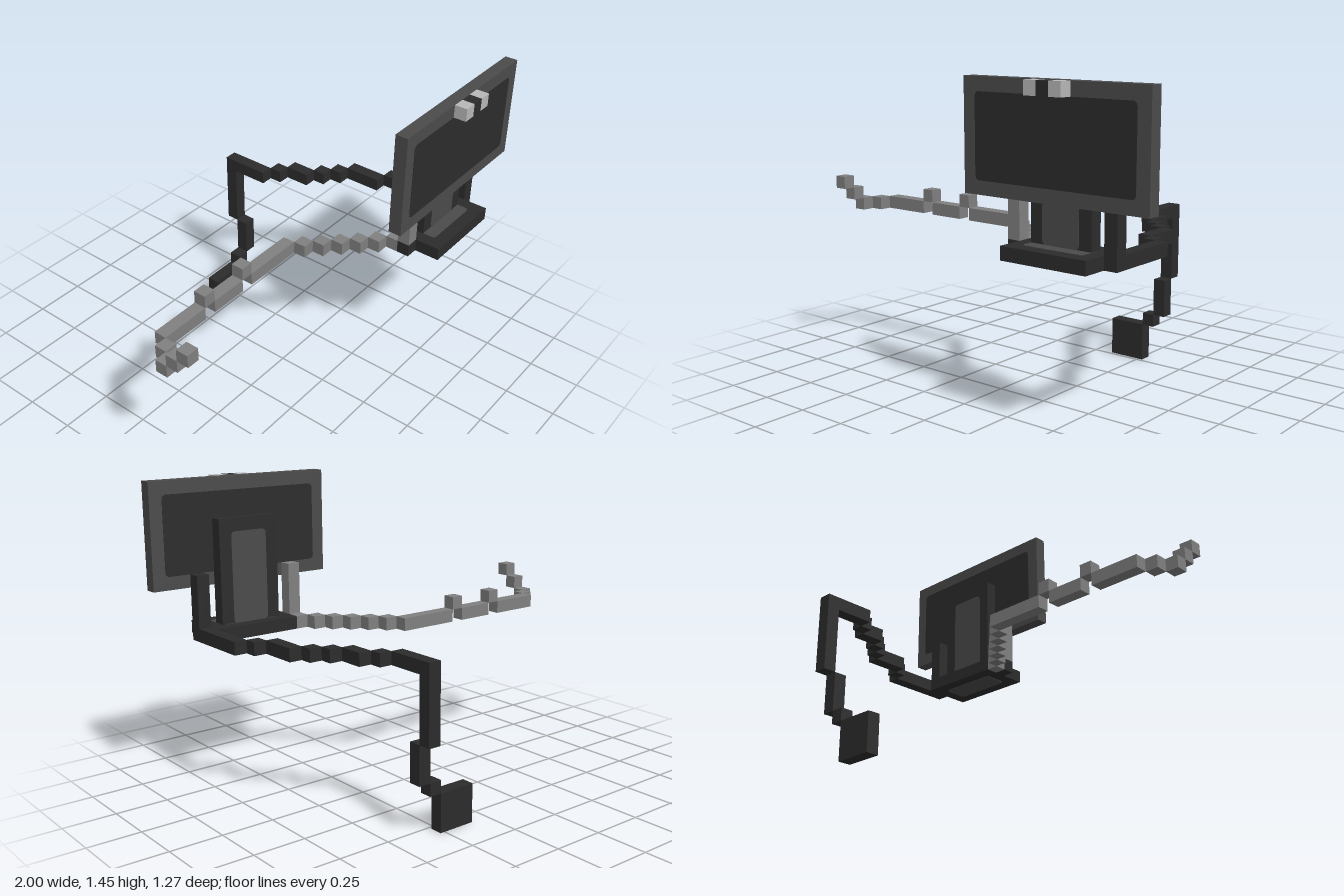
import * as THREE from 'three';

const U = 2 / 33; // one block

export function createModel() {
  const mat = (name, color) => {
    const m = new THREE.MeshStandardMaterial({ color });
    m.name = name;
    return m;
  };
  const black = mat('black', 0x2c2c2c);
  const darkGray = mat('darkGray', 0x4b4b4b);
  const gray = mat('cableGray', 0x808080);
  const light = mat('lightGray', 0xb8b8b8);

  const model = new THREE.Group();
  const part = (name) => {
    const g = new THREE.Group();
    g.name = name;
    model.add(g);
    return g;
  };

  // Box spanning block corners [x0,x1] [y0,y1] [z0,z1]
  const box = (parent, name, material, [x0, x1, y0, y1, z0, z1]) => {
    const mesh = new THREE.Mesh(new THREE.BoxGeometry((x1 - x0) * U, (y1 - y0) * U, (z1 - z0) * U), material);
    mesh.position.set((x0 + x1) / 2 * U - 1, (y0 + y1) / 2 * U, ((z0 + z1) / 2 - 10.5) * U);
    mesh.name = name;
    parent.add(mesh);
  };

  // Thin panel with softly rounded corners, centred on its own origin
  const panel = (parent, name, material, w, h, x, y, z, tilt = 0) => {
    const a = w * U / 2, b = h * U / 2, r = 0.02;
    const s = new THREE.Shape();
    s.absarc(a - r, b - r, r, 0, Math.PI / 2);
    s.absarc(-a + r, b - r, r, Math.PI / 2, Math.PI);
    s.absarc(-a + r, -b + r, r, Math.PI, Math.PI * 1.5);
    s.absarc(a - r, -b + r, r, Math.PI * 1.5, Math.PI * 2);
    const t = 0.004;
    const geo = new THREE.ExtrudeGeometry(s, { depth: t, bevelEnabled: false, curveSegments: 4 });
    geo.translate(0, 0, -t / 2);
    const mesh = new THREE.Mesh(geo, material);
    mesh.rotation.x = tilt;
    mesh.position.set(x * U - 1, y * U, (z - 10.5) * U);
    mesh.name = name;
    parent.add(mesh);
  };

  // Monitor with dark panels front and back
  const monitor = part('monitor');
  box(monitor, 'monitorFrame', darkGray, [18, 33, 16, 24, 19, 20]);
  panel(monitor, 'screen', black, 13, 6, 25.5, 20, 20);
  panel(monitor, 'backPanel', black, 13, 6, 25.5, 20, 19);

  // Webcam clipped on the top edge
  const webcam = part('webcam');
  box(webcam, 'webcamBody', black, [25, 26, 23, 24, 20, 21]);
  for (const x of [24, 26]) box(webcam, 'webcamSide', light, [x, x + 1, 23, 24, 20, 21]);

  // Stand and base
  const stand = part('stand');
  box(stand, 'base', black, [22, 29, 12, 13, 17, 21]);
  box(stand, 'neck', black, [23, 28, 13, 21, 18, 19]);
  for (const z of [18, 19]) panel(stand, 'neckPanel', darkGray, 3, 7, 25.5, 16.5, z);
  for (const y of [12, 13]) panel(stand, 'basePanel', darkGray, 5, 2, 25.5, y, 19, Math.PI / 2);

  // Power cable, from the monitor down to the plug
  const power = part('powerCable');
  [
    [29, 30, 13, 17, 18, 19], [29, 30, 12, 13, 13, 19], [28, 29, 12, 13, 12, 13],
    [27, 28, 12, 13, 9, 12], [26, 27, 12, 13, 8, 9], [25, 26, 12, 13, 7, 8],
    [24, 25, 12, 13, 5, 7], [23, 24, 12, 13, 4, 5], [22, 23, 12, 13, 0, 4],
    [22, 23, 7, 12, 0, 1], [22, 23, 4, 7, 1, 2], [21, 22, 3, 4, 1, 2],
  ].forEach((b) => box(power, 'powerCableSegment', black, b));
  box(power, 'plug', black, [18, 21, 0, 3, 1, 2]);

  // Signal cable, trailing off to the side
  const signal = part('signalCable');
  box(signal, 'cableFoot', black, [21, 22, 12, 13, 18, 19]);
  box(signal, 'signalCableRiser', gray, [21, 22, 13, 17, 18, 19]);
  for (let i = 0; i < 6; i++) {
    box(signal, 'signalCableStep', gray, [21 - i, 22 - i, 12, 13, 17 - i, 18 - i]);
  }
  [
    [11, 16, 12, 13, 11, 12], [10, 11, 13, 14, 11, 12], [7, 10, 12, 13, 11, 12],
    [6, 7, 13, 14, 11, 12], [2, 6, 12, 13, 11, 12], [1, 2, 12, 13, 12, 13],
    [0, 1, 12, 13, 13, 14], [0, 1, 13, 14, 14, 15], [0, 1, 14, 15, 15, 16],
  ].forEach((b) => box(signal, 'signalCableSegment', gray, b));

  return model;
}
